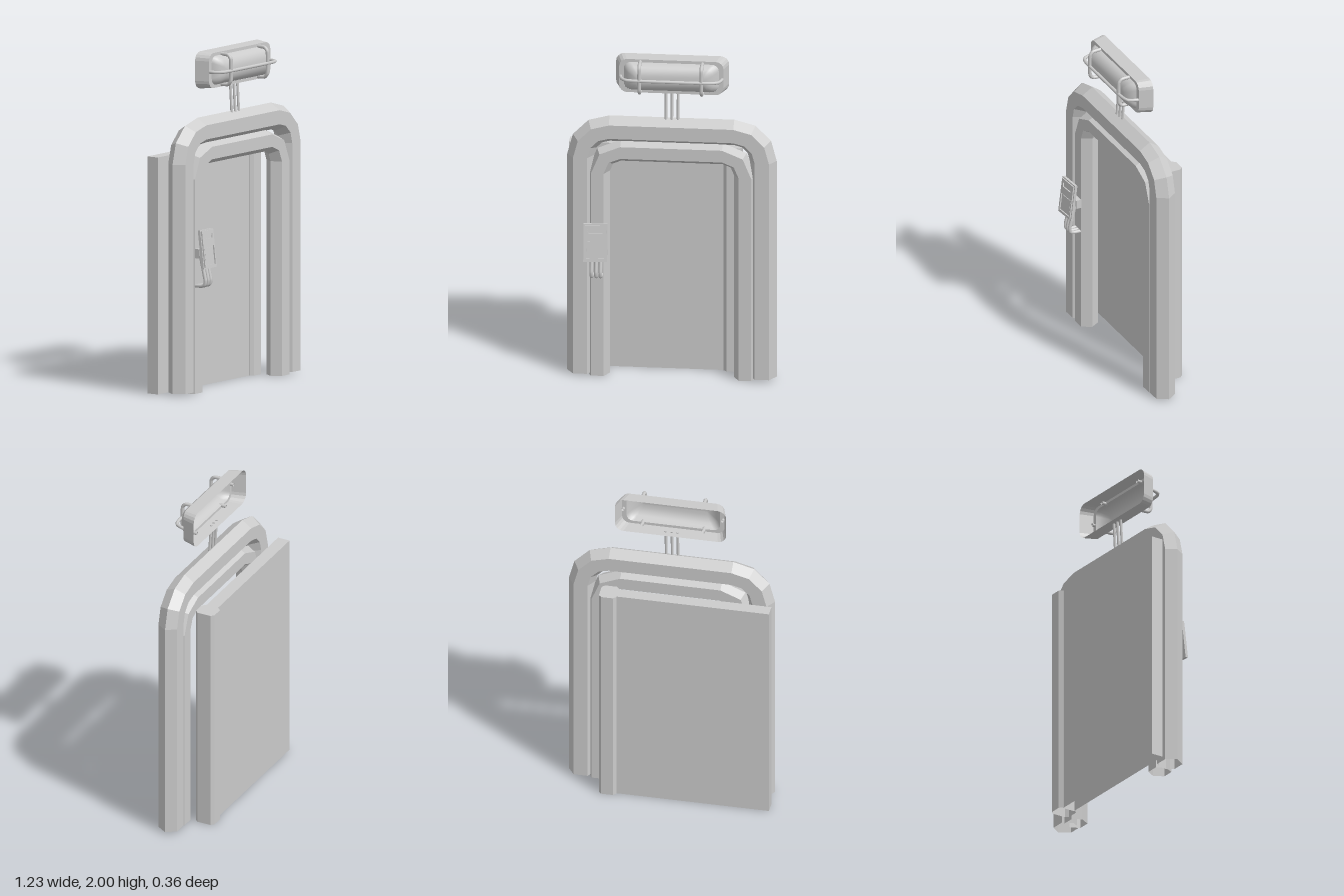
import * as THREE from 'three';

const V = (x, y, z) => new THREE.Vector3(x, y, z);
const flat = new THREE.MeshStandardMaterial({ color: 0xcccccc, flatShading: true, side: THREE.DoubleSide });
const smooth = new THREE.MeshStandardMaterial({ color: 0xcccccc, side: THREE.DoubleSide });

// Skin over a list of closed rings with equal point counts
function loft(rings) {
  const n = rings[0].length, pos = [], idx = [];
  rings.forEach(r => r.forEach(p => pos.push(p.x, p.y, p.z)));
  for (let i = 0; i < rings.length - 1; i++) {
    for (let j = 0; j < n; j++) {
      const k = (j + 1) % n, a = i * n + j, b = i * n + k;
      idx.push(a, b, b + n, a, b + n, a + n);
    }
  }
  const g = new THREE.BufferGeometry();
  g.setAttribute('position', new THREE.Float32BufferAttribute(pos, 3));
  g.setIndex(idx);
  g.computeVertexNormals();
  return g;
}

// Counter-clockwise rectangle (half sizes w, h) with corners of radius c
function roundRect(w, h, c = 0, seg = 0) {
  const pts = [];
  [[1, 1], [-1, 1], [-1, -1], [1, -1]].forEach(([sx, sy], k) => {
    for (let s = 0; s <= seg; s++) {
      const a = (k + (seg ? s / seg : 0)) * Math.PI / 2;
      pts.push([sx * (w - c) + c * Math.cos(a), sy * (h - c) + c * Math.sin(a)]);
    }
  });
  return pts;
}

// Sweep a section [radius, z] up, over two rounded corners and down again
function arch(cx, cy, bottom, seg, section) {
  const rings = [];
  const ring = (side, a, foot) => rings.push(section.map(([r, z]) =>
    V(side * cx + r * Math.cos(a), foot ? bottom : cy + r * Math.sin(a), z)));
  ring(-1, Math.PI, true);
  for (let s = 0; s <= seg; s++) ring(-1, Math.PI - s / seg * Math.PI / 2);
  for (let s = 0; s <= seg; s++) ring(1, Math.PI / 2 - s / seg * Math.PI / 2);
  ring(1, 0, true);
  return loft(rings);
}

// Upright prism, open underneath and closed on top
function prism(pts, x, z, height) {
  const ring = (y, k) => pts.map(([u, v]) => V(x + u * k, y, z - v * k));
  return loft([ring(0, 1), ring(height, 1), ring(height, 0)]);
}

function tube(pts, r) {
  const path = new THREE.CurvePath();
  const curve = new THREE.CatmullRomCurve3(pts.map(p => V(...p)), false, 'catmullrom', 0.2);
  path.add(curve);
  return new THREE.TubeGeometry(curve, 28, r, 8);
}

export function createModel() {
  const model = new THREE.Group();
  const add = (name, geo, mat = flat, parent = model) => {
    const m = new THREE.Mesh(geo, mat);
    m.name = name;
    parent.add(m);
    return m;
  };

  // Door frame: two nested hexagonal-section arches
  add('outerFrame', arch(0.367, 1.37, 0.012, 3,
    [[0.25, 0.028], [0.21, 0.092], [0.126, 0.092], [0.09, 0.028], [0.126, -0.031], [0.21, -0.031]]));
  add('innerFrame', arch(0.3, 1.272, 0, 2,
    [[0.198, 0.028], [0.172, 0.086], [0.098, 0.086], [0.065, 0.028], [0.098, -0.026], [0.172, -0.026]]));

  // Sliding door with its thick edge bar
  add('doorPanel', prism(roundRect(0.4585, 0.038), -0.1585, -0.116, 1.405));
  add('doorEdgeBar', prism(roundRect(0.0525, 0.061, 0.018, 1), 0.347, -0.116, 1.405));

  // Rods carrying the lamp
  for (const x of [-0.035, 0, 0.036]) {
    const rod = add('lampRod', new THREE.CylinderGeometry(0.008, 0.008, 0.2, 8), smooth);
    rod.position.set(x, 1.69, 0.031);
    rod.rotation.x = -0.06;
  }

  // Lamp: hollow housing open at the back, domed lens, wire guard
  const lamp = new THREE.Group();
  lamp.name = 'lamp';
  lamp.position.y = 1.89;
  model.add(lamp);
  const ring = ([w, h, c, z]) => roundRect(w, h, c, 4).map(([x, y]) => V(x, y, z));
  add('lampHousing', loft([[0.333, 0.11, 0.05, -0.014], [0.307, 0.104, 0.045, 0.068],
    [0.28, 0.086, 0.04, 0.068]].map(ring)), flat, lamp);
  add('lampLens', loft([[0.28, 0.086, 0.04, 0.066], [0.268, 0.08, 0.04, 0.086], [0.25, 0.066, 0.035, 0.104],
    [0.225, 0.045, 0.025, 0.118], [0.205, 0.022, 0.015, 0.124], [0.19, 0, 0, 0.125]].map(ring)), smooth, lamp);
  add('guardLongBar', tube([[-0.298, -0.005, 0.05], [-0.298, -0.005, 0.085], [-0.272, -0.005, 0.13],
    [-0.2, -0.005, 0.14], [0.2, -0.005, 0.14], [0.272, -0.005, 0.13], [0.298, -0.005, 0.085],
    [0.298, -0.005, 0.05]], 0.01), smooth, lamp);
  for (const x of [-0.183, 0.183]) {
    add('guardCrossBar', tube([[x, 0.09, 0.04], [x, 0.088, 0.115], [x, 0.062, 0.137],
      [x, -0.062, 0.137], [x, -0.088, 0.115], [x, -0.09, 0.04]], 0.011), smooth, lamp);
  }

  // Tilted control pad with a raised face around slot and screen
  const pad = new THREE.Group();
  pad.name = 'controlPad';
  pad.position.set(-0.439, 0.863, 0.152);
  pad.rotation.set(-0.12, 0.07, 0);
  model.add(pad);
  add('padBody', new THREE.BoxGeometry(0.14, 0.23, 0.016), flat, pad).position.z = -0.002;
  const toVec = pts => pts.map(([x, y]) => new THREE.Vector2(x, y));
  const face = new THREE.Shape(toVec(roundRect(0.063, 0.108)));
  face.holes.push(
    new THREE.Path(toVec([[-0.05, 0.086], [0.05, 0.086], [0.042, 0.06], [-0.042, 0.06]])),
    new THREE.Path(toVec([[-0.053, 0.015], [0.053, 0.015], [0.053, -0.093], [-0.053, -0.093]])));
  add('padFace', new THREE.ExtrudeGeometry(face, { depth: 0.008, bevelEnabled: false }), flat, pad).position.z = 0.006;
  add('padScreen', new THREE.BoxGeometry(0.09, 0.092, 0.004), flat, pad).position.set(0, -0.039, 0.008);

  // Bracket and cables behind the pad
  add('padBracket', new THREE.BoxGeometry(0.074, 0.055, 0.035)).position.set(-0.433, 0.832, 0.1);
  add('padBracketNeck', new THREE.BoxGeometry(0.055, 0.04, 0.05)).position.set(-0.433, 0.832, 0.125);
  for (const x of [-0.463, -0.436, -0.41]) {
    add('padCable', tube([[x, 0.82, 0.122], [x, 0.79, 0.128], [x, 0.68, 0.154], [x, 0.652, 0.15],
      [x, 0.643, 0.13], [x, 0.64, 0.075]], 0.011), smooth);
  }
  return model;
}
